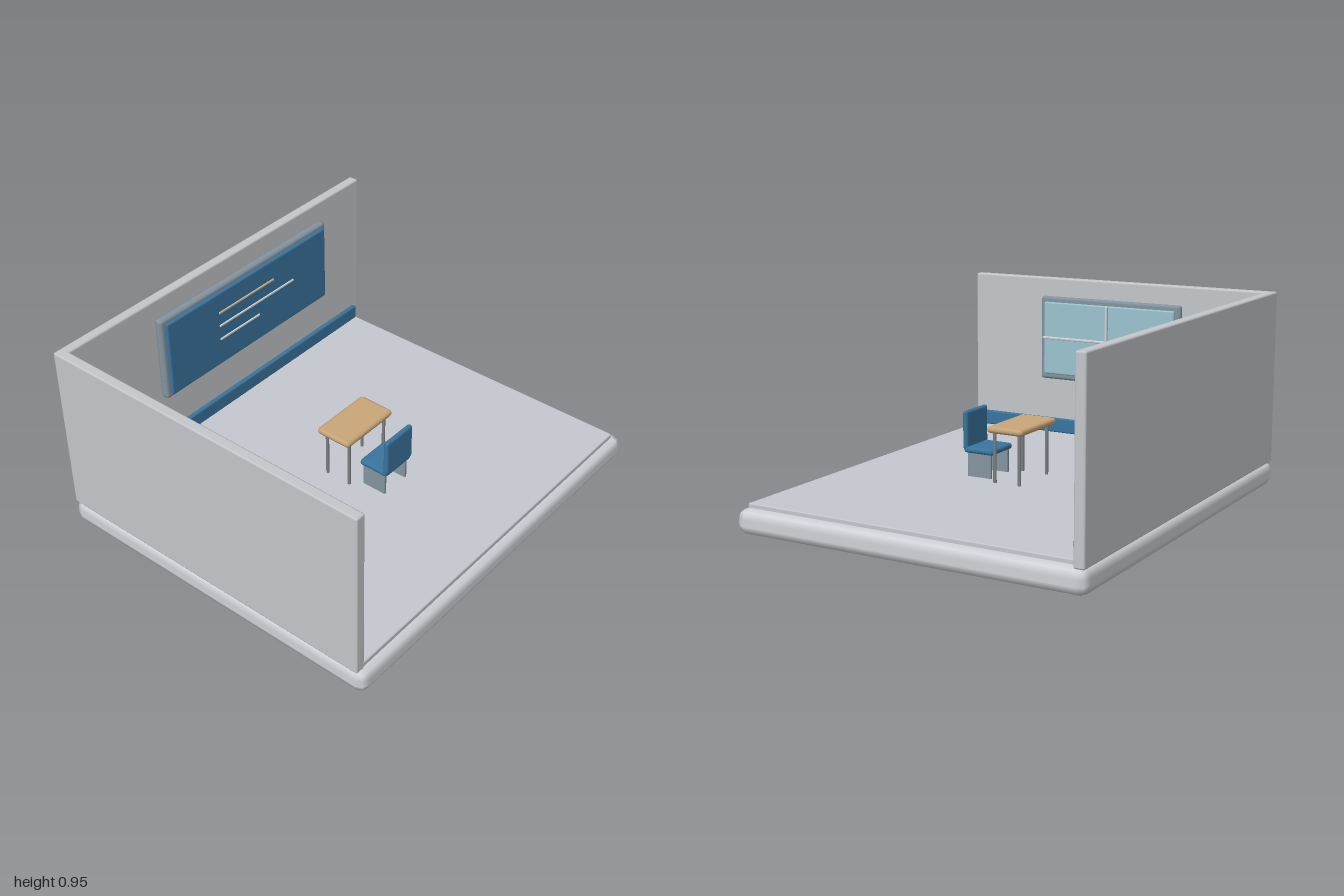
import * as THREE from 'three';
import { RoundedBoxGeometry } from 'three/addons/geometries/RoundedBoxGeometry.js';

const material = (name, color) => {
  const m = new THREE.MeshStandardMaterial({ color });
  m.name = name;
  return m;
};

export function createModel() {
  const mats = {
    base: material('pale grey base', 0xcfd2d7),
    wall: material('wall grey', 0xc4c7cb),
    floor: material('floor grey', 0xc4c8ce),
    blue: material('blue', 0x3a759f),
    frame: material('slate grey', 0x84949f),
    glass: material('window glass', 0x9cc4d0),
    wood: material('wood', 0xcaa678),
    chalk: material('chalk white', 0xe2e2e0),
    tan: material('tan chalk', 0xd8bfa0),
    metal: material('leg metal', 0x7d8084),
  };
  const model = new THREE.Group();
  model.name = 'classroom';

  const group = (name) => {
    const g = new THREE.Group();
    g.name = name;
    model.add(g);
    return g;
  };

  // Bevelled box given by its extents on each axis
  const slab = (parent, name, mat, [x0, x1], [y0, y1], [z0, z1], bevel = 0.008) => {
    const mesh = new THREE.Mesh(
      new RoundedBoxGeometry(x1 - x0, y1 - y0, z1 - z0, 1, bevel), mats[mat]);
    mesh.position.set((x0 + x1) / 2, (y0 + y1) / 2, (z0 + z1) / 2);
    mesh.name = name;
    parent.add(mesh);
    return mesh;
  };

  // Room shell
  const room = group('room');
  slab(room, 'base', 'base', [-1, 1], [0, 0.12], [-0.855, 0.855], 0.045);
  slab(room, 'floor', 'floor', [-0.955, 0.955], [0.09, 0.14], [-0.815, 0.815], 0.006);
  slab(room, 'backWall', 'wall', [-0.995, 0.99], [0.113, 0.95], [-0.845, -0.795], 0.009);
  slab(room, 'sideWall', 'wall', [-0.995, -0.945], [0.113, 0.95], [-0.84, 0.82], 0.009);
  slab(room, 'backSkirting', 'blue', [-0.945, 0.948], [0.14, 0.215], [-0.797, -0.772]);
  slab(room, 'sideSkirting', 'blue', [-0.947, -0.923], [0.14, 0.215], [-0.79, 0.792]);

  // Writing board on the back wall
  const board = group('board');
  slab(board, 'boardFrame', 'frame', [-0.46, 0.68], [0.425, 0.86], [-0.795, -0.75], 0.016);
  slab(board, 'boardPanel', 'blue', [-0.437, 0.655], [0.45, 0.84], [-0.755, -0.732]);
  const lines = [[0.737, 0.27, 'tan'], [0.665, 0.41, 'chalk'], [0.59, 0.16, 'chalk']];
  for (const [y, end, mat] of lines)
    slab(board, 'chalkLine', mat, [-0.112, end], [y - 0.005, y + 0.005], [-0.733, -0.726], 0.002);

  // Window on the side wall
  const windowGroup = group('window');
  slab(windowGroup, 'windowFrame', 'frame', [-0.947, -0.914], [0.425, 0.857], [-0.377, 0.41], 0.014);
  slab(windowGroup, 'windowGlass', 'glass', [-0.916, -0.897], [0.455, 0.83], [-0.348, 0.383], 0.007);
  slab(windowGroup, 'verticalBar', 'base', [-0.897, -0.88], [0.455, 0.83], [0.011, 0.024], 0.004);
  slab(windowGroup, 'horizontalBar', 'base', [-0.897, -0.88], [0.64, 0.652], [-0.356, 0.383], 0.004);

  // Desk
  const desk = group('desk');
  slab(desk, 'deskTop', 'wood', [-0.165, 0.162], [0.375, 0.408], [-0.096, 0.092], 0.016);
  const legGeometry = new THREE.CylinderGeometry(0.008, 0.008, 0.245, 12);
  for (const x of [-0.128, 0.124]) for (const z of [-0.062, 0.067]) {
    const leg = new THREE.Mesh(legGeometry, mats.metal);
    leg.position.set(x, 0.2615, z);
    leg.name = 'deskLeg';
    desk.add(leg);
  }

  // Chair facing the desk
  const chair = group('chair');
  slab(chair, 'seat', 'blue', [-0.095, 0.092], [0.25, 0.28], [0.1, 0.257], 0.014);
  slab(chair, 'backrest', 'blue', [-0.095, 0.092], [0.265, 0.448], [0.235, 0.262], 0.012);
  for (const x of [-0.077, 0.074])
    slab(chair, 'chairLeg', 'frame', [x - 0.007, x + 0.007], [0.137, 0.256], [0.115, 0.24], 0.003);

  return model;
}
